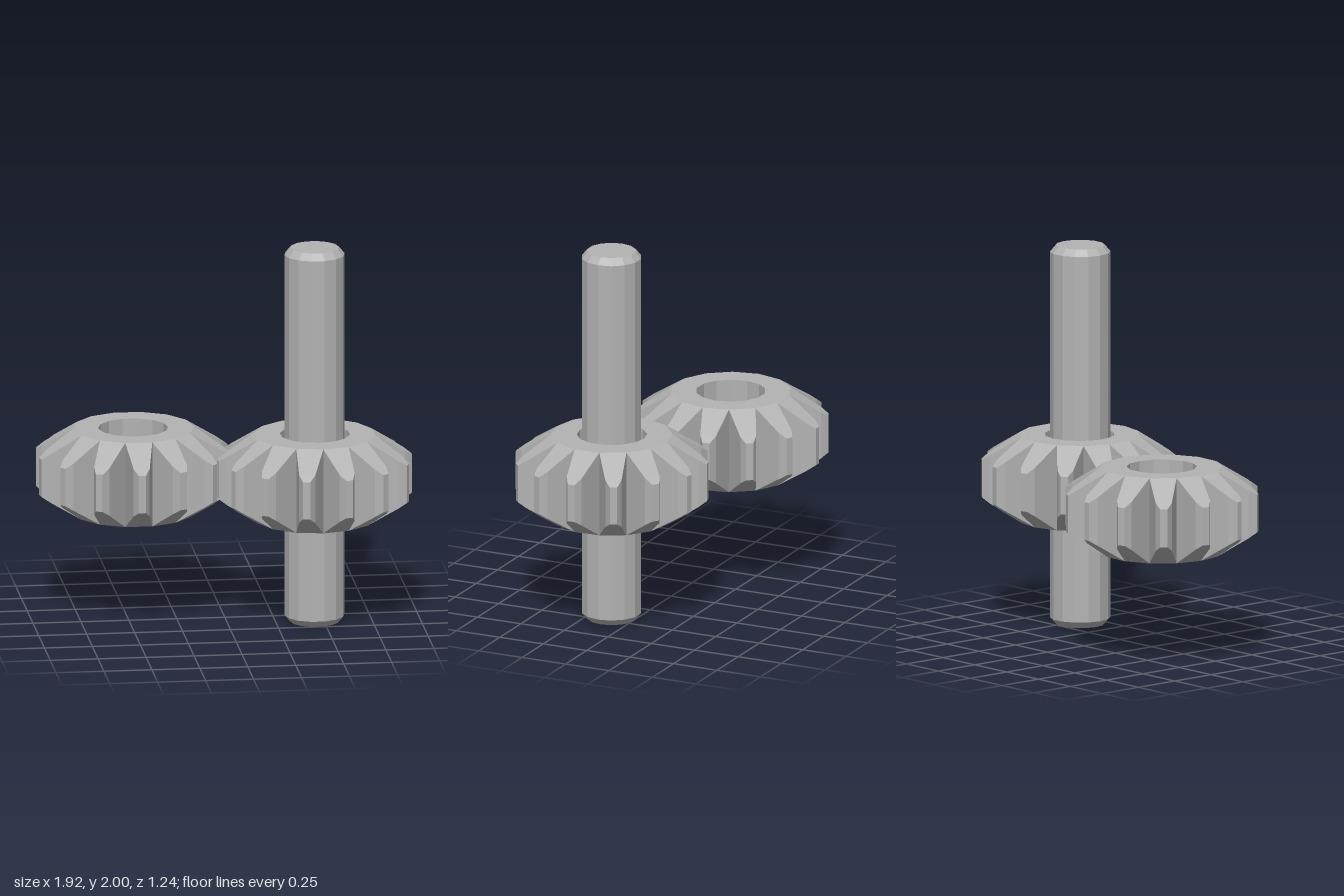
import * as THREE from 'three';

const TEETH = 14, MID = 0.775;
const HOLE_R = 0.182, ROOT_R = 0.315;

// Gear with V-shaped gaps and teeth bevelled above and below
function gearGeometry() {
  const pos = [];
  const quad = (a, b, c, d) => [a, b, c, a, c, d].forEach(p => pos.push(p.x, p.y, p.z));
  const step = (Math.PI * 2) / TEETH;
  const up = new THREE.Vector3(0, 1, 0);
  const polar = (r, a, y) => new THREE.Vector3(r * Math.cos(a), y, -r * Math.sin(a));

  for (let i = 0; i < TEETH; i++) {
    const a = i * step, lo = a - step / 2, hi = a + step / 2;
    // point on the tooth at distance r, sideways offset w, height y
    const tooth = (r, w, y) => new THREE.Vector3(r, y, -w).applyAxisAngle(up, a);
    const outline = s => [
      polar(ROOT_R, lo, 0.225 * s),
      tooth(0.468, -0.042, 0.127 * s),
      tooth(0.506, -0.019, 0.1 * s),
      tooth(0.506, 0.019, 0.1 * s),
      tooth(0.468, 0.042, 0.127 * s),
      polar(ROOT_R, hi, 0.225 * s),
    ];
    const t = outline(1), b = outline(-1);
    // flanks and tip
    for (let k = 0; k < 5; k++) quad(b[k], b[k + 1], t[k + 1], t[k]);
    // bevels
    quad(t[0], t[1], t[4], t[5]);
    quad(t[1], t[2], t[3], t[4]);
    quad(b[5], b[4], b[1], b[0]);
    quad(b[4], b[3], b[2], b[1]);
    // hub faces and bore
    const tl = polar(HOLE_R, lo, 0.225), th = polar(HOLE_R, hi, 0.225);
    const bl = polar(HOLE_R, lo, -0.225), bh = polar(HOLE_R, hi, -0.225);
    quad(tl, t[0], t[5], th);
    quad(bh, b[5], b[0], bl);
    quad(bh, bl, tl, th);
  }
  const geo = new THREE.BufferGeometry();
  geo.setAttribute('position', new THREE.Float32BufferAttribute(pos, 3));
  geo.computeVertexNormals();
  return geo;
}

export function createModel() {
  const group = new THREE.Group();
  const steel = new THREE.MeshStandardMaterial({ color: 0xb3b3b3 });
  steel.name = 'steel grey';

  const geo = gearGeometry();
  const addGear = (name, x, z, degrees) => {
    const gear = new THREE.Mesh(geo, steel);
    gear.name = name;
    gear.position.set(x, MID, z);
    gear.rotation.y = THREE.MathUtils.degToRad(degrees);
    group.add(gear);
  };
  addGear('shaftGear', 0.455, 0.12, 1.2);
  addGear('idlerGear', -0.463, -0.118, 88.5);

  // Shaft with chamfered ends
  const profile = [[0, 0], [0.127, 0], [0.157, 0.035], [0.157, 1.965], [0.127, 2], [0, 2]]
    .map(([r, y]) => new THREE.Vector2(r, y));
  const shaftGeo = new THREE.LatheGeometry(profile, 14, Math.PI / 2).toNonIndexed();
  shaftGeo.computeVertexNormals();
  const shaft = new THREE.Mesh(shaftGeo, steel);
  shaft.name = 'shaft';
  shaft.position.set(0.453, 0, 0.123);
  group.add(shaft);

  return group;
}
